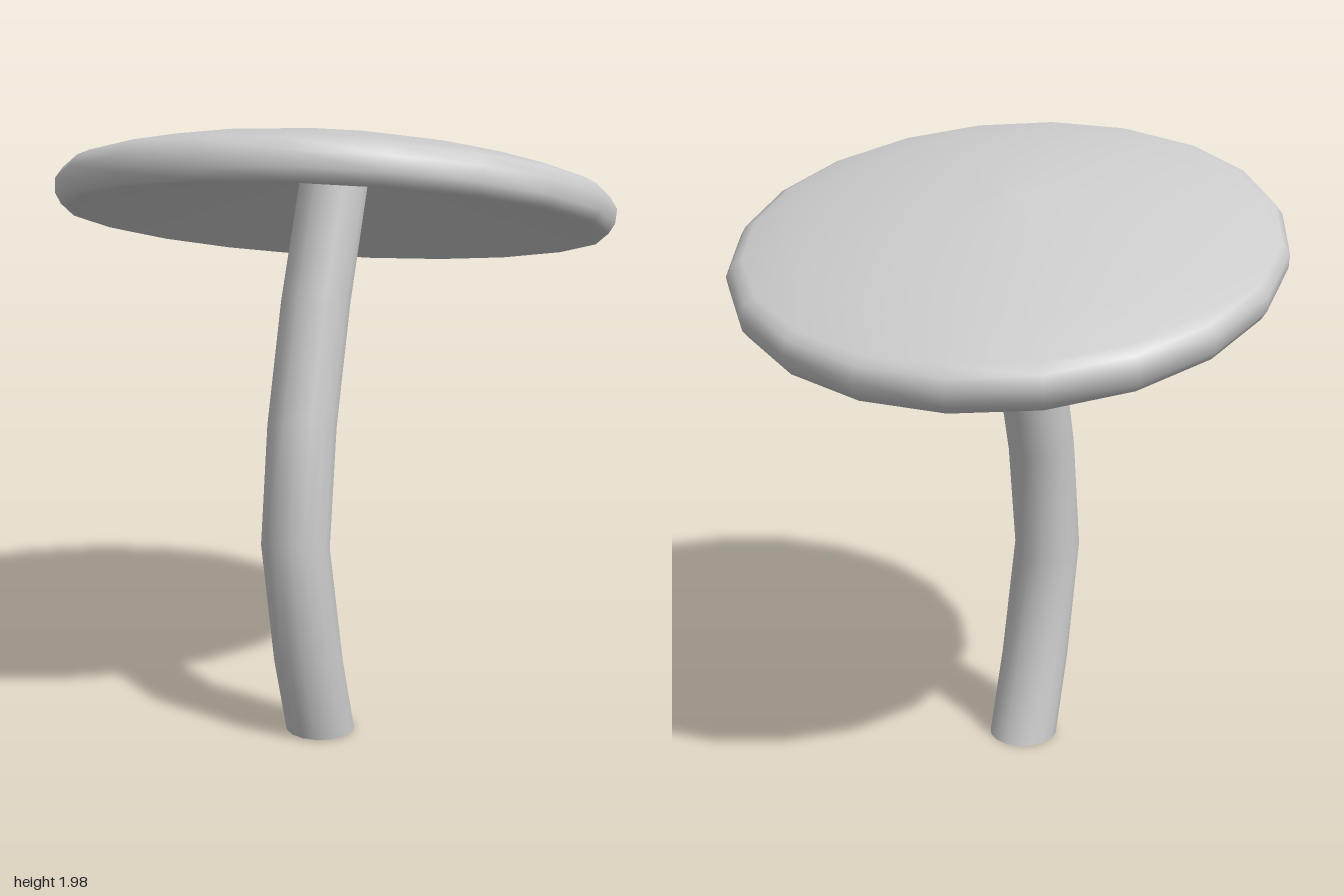
import * as THREE from 'three';

const material = new THREE.MeshStandardMaterial({ color: 0xcccccc, side: THREE.DoubleSide });

// Shallow, hollow dome with a thick rounded rim, tilted back and to one side
function createCap() {
  const profile = [
    [0, 0.115], [0.11, 0.1], [0.45, 0.025], [0.79, -0.058], [0.812, -0.064],
    [0.835, -0.06], [0.853, -0.03], [0.857, 0.015], [0.835, 0.05], [0.8, 0.068],
    [0.65, 0.11], [0.45, 0.15], [0.22, 0.18], [0, 0.19],
  ].map(([r, y]) => new THREE.Vector2(r, y));
  const cap = new THREE.Mesh(
    new THREE.LatheGeometry(profile, 20, THREE.MathUtils.degToRad(6.5)), material);
  const axis = new THREE.Vector3(-0.19, 1, -0.222).normalize();
  cap.quaternion.setFromUnitVectors(new THREE.Vector3(0, 1, 0), axis);
  cap.position.set(0, 1.695, 0);
  cap.name = 'cap';
  return cap;
}

// Bent open tube: each ring of a cylinder is moved to its centre and tilted
function createStem() {
  // centre x, y, z, radius, tilt
  const rings = [
    [0.058, 0.006, 0.11, 0.112, 0.02],
    [0.088, 0.27, 0.18, 0.111, 0.06],
    [0.094, 0.66, 0.233, 0.108, 0.22],
    [0.058, 1.03, 0.178, 0.108, 0.24],
    [0.004, 1.4, 0.082, 0.108, 0.24],
    [-0.026, 1.82, -0.024, 0.106, 0.24],
  ];
  const geometry = new THREE.CylinderGeometry(1, 1, 1, 16, rings.length - 1, true);
  const pos = geometry.attributes.position;
  for (let i = 0; i < pos.count; i++) {
    const ring = Math.round((pos.getY(i) + 0.5) * (rings.length - 1));
    const [cx, cy, cz, r, tilt] = rings[ring];
    const dx = pos.getX(i) * r, dz = pos.getZ(i) * r;
    pos.setXYZ(i, cx + dx, cy + tilt * (0.9 * dx + dz), cz + dz);
  }
  geometry.computeVertexNormals();
  // Blend the normals across the seam
  const n = geometry.attributes.normal;
  for (let k = 0; k < rings.length; k++) {
    const a = k * 17, b = a + 16;
    const v = new THREE.Vector3().fromBufferAttribute(n, a)
      .add(new THREE.Vector3().fromBufferAttribute(n, b)).normalize();
    n.setXYZ(a, v.x, v.y, v.z);
    n.setXYZ(b, v.x, v.y, v.z);
  }
  const stem = new THREE.Mesh(geometry, material);
  stem.name = 'stem';
  return stem;
}

export function createModel() {
  const mushroom = new THREE.Group();
  mushroom.name = 'mushroom';
  mushroom.add(createCap(), createStem());
  return mushroom;
}
